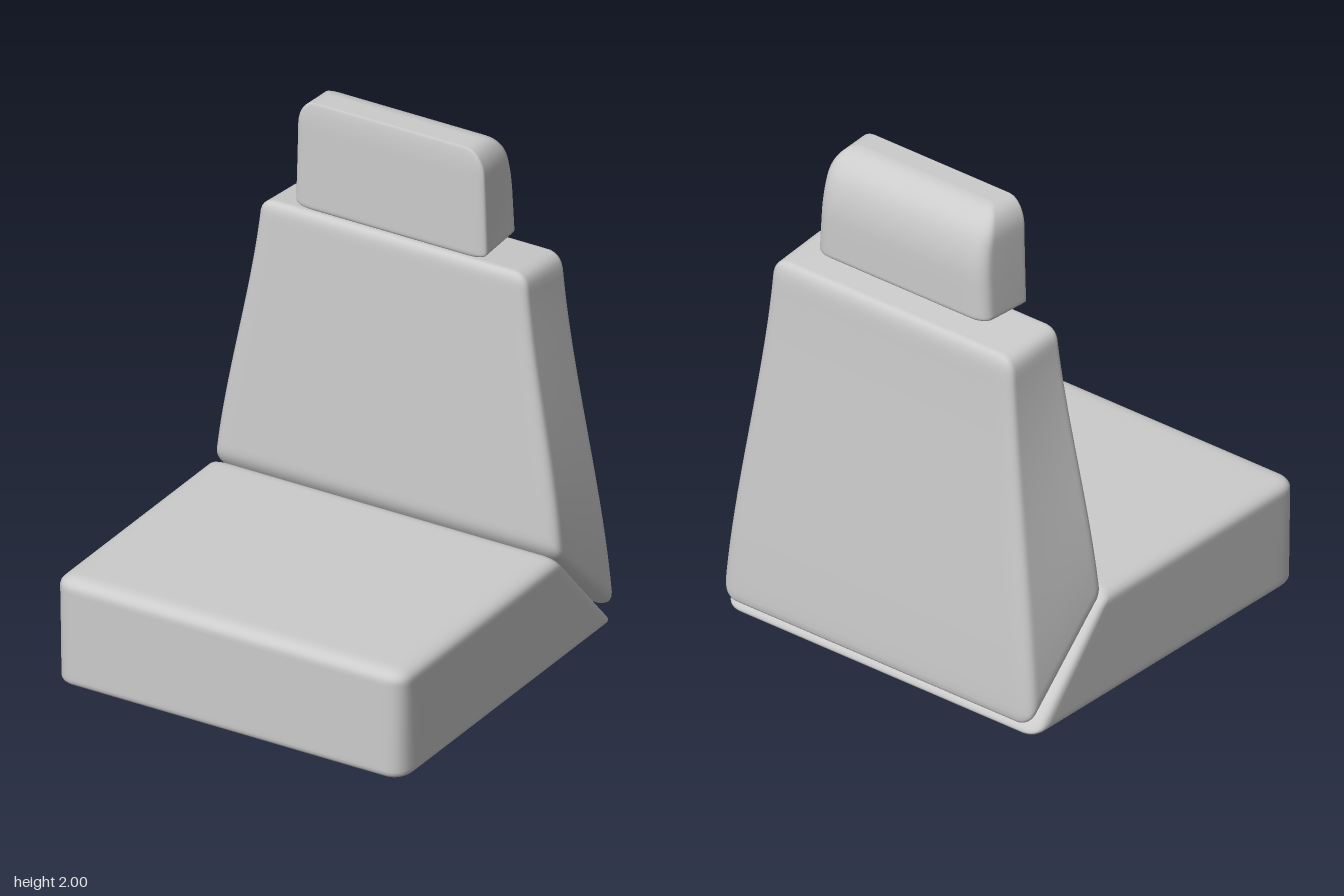
import * as THREE from 'three';
import { mergeVertices } from 'three/addons/utils/BufferGeometryUtils.js';

const { lerp } = THREE.MathUtils;
const material = new THREE.MeshStandardMaterial({ color: 0xcccccc });

// Rounds one axis: spreads points towards the edges, then splits the
// coordinate (0..1) into an inner core and a direction into the rounding.
function splitAxis(v, [rLow, rHigh]) {
  const u = 0.5 + 0.5 * Math.sign(v) * (1 - Math.pow(1 - Math.min(1, Math.abs(v)), 2.2));
  if (u < rLow) return { core: rLow, dir: (u - rLow) / rLow, r: rLow };
  if (u > 1 - rHigh) return { core: 1 - rHigh, dir: (u - 1 + rHigh) / rHigh, r: rHigh };
  return { core: u, dir: 0, r: 0 };
}

// A smooth padded block: a rounded unit cube whose points (a, s, t), each 0..1
// for right-left, bottom-top and back-front, are placed by the shape rule.
// Radii are fractions of the cube, given as [low side, high side] per axis.
function cushion(name, radii, shape) {
  const n = 30;
  let geo = new THREE.BoxGeometry(2, 2, 2, n, n, n);
  geo.deleteAttribute('normal');
  geo.deleteAttribute('uv');
  geo = mergeVertices(geo, 1e-4);
  const pos = geo.attributes.position;
  for (let i = 0; i < pos.count; i++) {
    const axes = [pos.getX(i), pos.getY(i), pos.getZ(i)].map((v, k) => splitAxis(v, radii[k]));
    const len = Math.hypot(...axes.map((q) => q.dir)) || 1;
    pos.setXYZ(i, ...shape(...axes.map((q) => q.core + (q.dir / len) * q.r)));
  }
  geo.computeVertexNormals();
  const mesh = new THREE.Mesh(geo, material);
  mesh.name = name;
  return mesh;
}

export function createModel() {
  const group = new THREE.Group();
  group.name = 'seat';

  // Seat cushion with a slanted rear face
  group.add(cushion('seatCushion', [[0.05, 0.05], [0.08, 0.1], [0.03, 0.06]], (a, s, t) => [
    lerp(-0.743, 0.743, a),
    0.45 * s,
    lerp(lerp(-0.74, -0.33, s), 0.755, t),
  ]));

  // Backrest: slanted underside, narrowing towards the top
  group.add(cushion('backrest', [[0.05, 0.05], [0.045, 0.045], [0.1, 0.1]], (a, s, t) => {
    const ease = 0.5 * s + 0.5 * s * s * (3 - 2 * s);
    const half = 0.738 - 0.173 * ease;
    return [
      lerp(-half, half, a),
      lerp(lerp(0.03, 0.445, t), lerp(1.51, 1.535, t), s),
      lerp(lerp(-0.752, -0.665, ease), lerp(-0.325, -0.378, s), t),
    ];
  }));

  // Headrest: flat front, back curving over into the top
  group.add(cushion('headrest', [[0.09, 0.09], [0.05, 0.24], [0.2, 0.08]], (a, s, t) => {
    const k = Math.max(0, (s - 0.4) / 0.6);
    const depth = 0.25 * (0.5 + 0.5 * Math.sqrt(Math.max(0, 1 - k * k)));
    const half = 0.407 - 0.012 * s - 0.015 * (1 - t) * s;
    return [
      lerp(-half, half, a),
      lerp(lerp(1.57, 1.555, t), 2, s),
      -0.363 - depth * (1 - t),
    ];
  }));

  return group;
}
